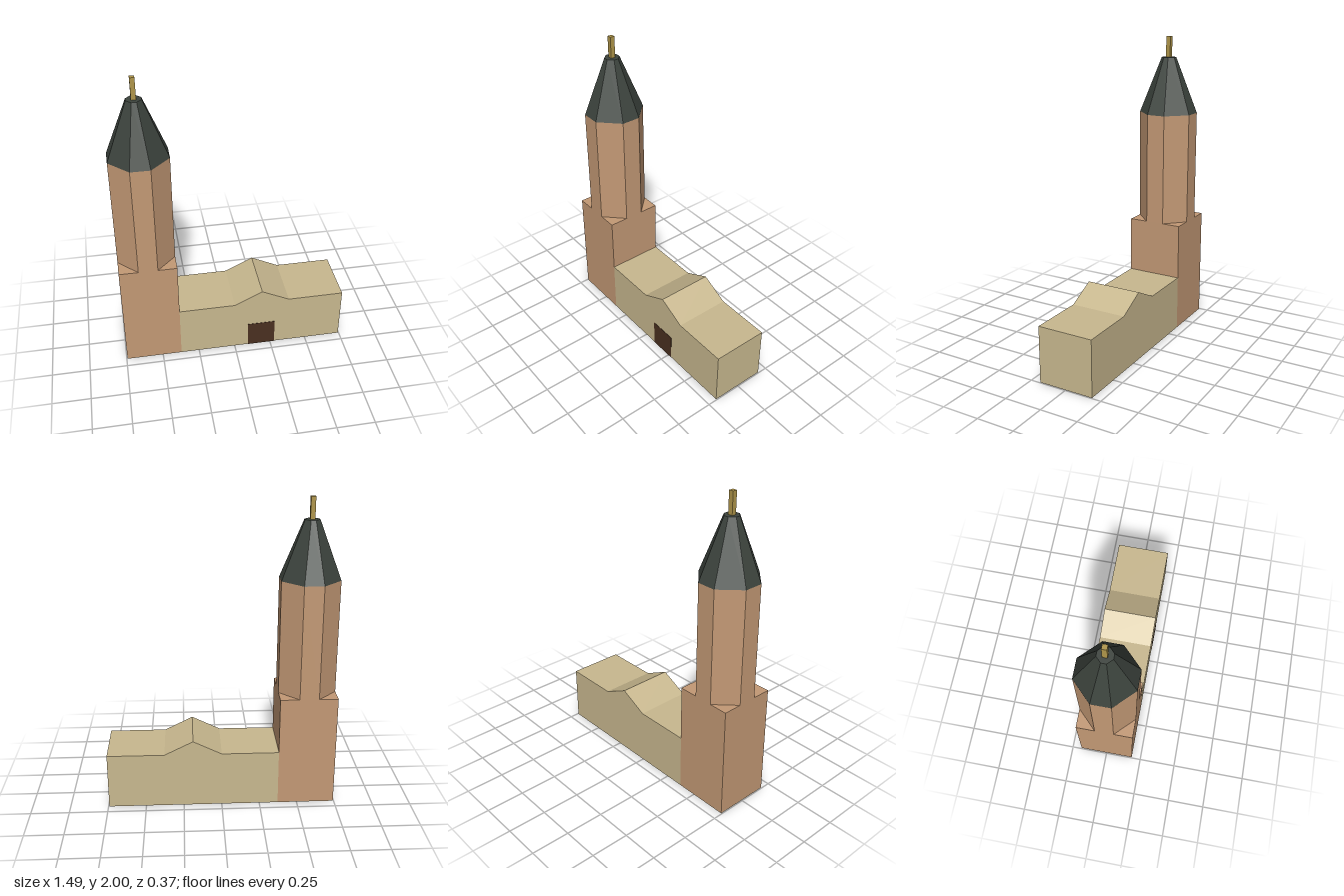
import * as THREE from 'three';

const W = 0.186;        // half width of tower and hall
const TOWER_X = -0.559; // tower axis

function material(name, color) {
  const m = new THREE.MeshStandardMaterial({ color });
  m.name = name;
  return m;
}

// Square with its corners cut at a third of the side, extruded upwards;
// the top is scaled by taper.
function octagonPrism(half, height, taper = 1) {
  const a = half, b = half / 3;
  const points = [[a, -b], [a, b], [b, a], [-b, a], [-a, b], [-a, -b], [-b, -a], [b, -a]];
  const shape = new THREE.Shape(points.map(([x, y]) => new THREE.Vector2(x, y)));
  const g = new THREE.ExtrudeGeometry(shape, { depth: height, bevelEnabled: false });
  g.rotateX(-Math.PI / 2);
  const p = g.attributes.position;
  for (let i = 0; i < p.count; i++) {
    if (p.getY(i) > height / 2) p.setXYZ(i, p.getX(i) * taper, p.getY(i), p.getZ(i) * taper);
  }
  g.computeVertexNormals();
  return g;
}

export function createModel() {
  const group = new THREE.Group();
  const brick = material('brick', 0xc39975);
  const stone = material('stone', 0xc8b88f);
  const slate = material('slate', 0x3c433d);
  const gold = material('gold', 0xb0964a);
  const wood = material('dark wood', 0x4a3020);

  function add(name, geometry, mat, x, y, z = 0) {
    const mesh = new THREE.Mesh(geometry, mat);
    mesh.name = name;
    mesh.position.set(x, y, z);
    group.add(mesh);
  }

  // Tower: stone footing, square base, octagonal shaft, cut-off spire, finial
  add('towerFooting', new THREE.BoxGeometry(2 * W, 0.004, 2 * W), stone, TOWER_X, 0.002);
  add('towerBase', new THREE.BoxGeometry(2 * W, 0.741, 2 * W), brick, TOWER_X, 0.3745);
  add('towerShaft', octagonPrism(W, 0.745), brick, TOWER_X, 0.745);
  add('spire', octagonPrism(W, 0.372, 0.25), slate, TOWER_X, 1.49);
  add('finial', new THREE.BoxGeometry(0.03, 0.138, 0.03), gold, TOWER_X, 1.931);

  // Long hall with a low gable in its roofline
  const outline = [[-0.373, 0], [0.745, 0], [0.745, 0.372], [0.372, 0.372],
    [0.186, 0.465], [0, 0.372], [-0.373, 0.372]];
  const hall = new THREE.ExtrudeGeometry(
    new THREE.Shape(outline.map(([x, y]) => new THREE.Vector2(x, y))),
    { depth: 2 * W, bevelEnabled: false });
  add('hall', hall, stone, 0, 0, -W);

  // Door below the gable
  add('door', new THREE.BoxGeometry(0.186, 0.186, 0.004), wood, 0.186, 0.093, W);

  return group;
}
